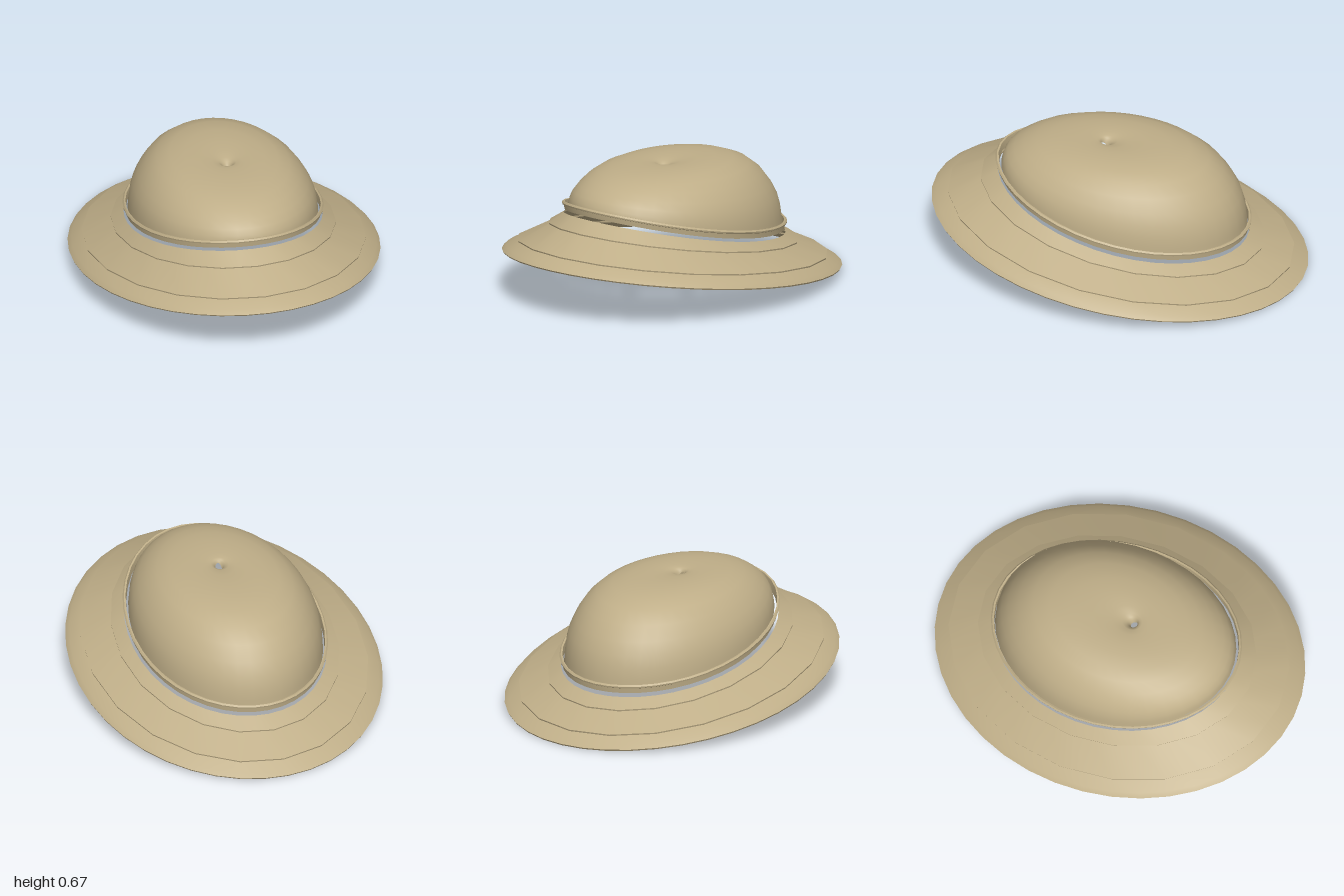
import * as THREE from 'three';
import { toCreasedNormals } from 'three/addons/utils/BufferGeometryUtils.js';

const N = 40;
const tan = new THREE.MeshStandardMaterial({ color: 0xbfae88, side: THREE.DoubleSide });
tan.name = 'tan cloth';

// One oval ring: half width a, half length b, centre z c; height follows a curve
// h = [middle, slope, bend] from back (u = -1) to front (u = 1).
function oval(a, b, c, h, faceted = false) {
  const at = (j) => {
    const t = (j / N) * Math.PI * 2, u = Math.cos(t);
    return new THREE.Vector3(a * Math.sin(t), h[0] + h[1] * u + h[2] * u * u, c + b * u);
  };
  return Array.from({ length: N }, (_, j) =>
    faceted && j % 2 ? at(j - 1).lerp(at(j + 1), 0.5) : at(j));
}

// Copy of a ring, raised by dy and widened by a factor.
const shift = (ring, dy, k = 1) => ring.map((p) => new THREE.Vector3(p.x * k, p.y + dy, p.z * k));

// Skin a list of rings; closed joins the last ring back to the first.
function loft(name, rings, closed, crease) {
  const pos = [], idx = [], R = rings.length;
  rings.forEach((r) => r.forEach((p) => pos.push(p.x, p.y, p.z)));
  for (let i = 0; i < (closed ? R : R - 1); i++) {
    const n = (i + 1) % R;
    for (let j = 0; j < N; j++) {
      const k = (j + 1) % N;
      const a = i * N + j, b = i * N + k, c = n * N + j, d = n * N + k;
      idx.push(a, b, c, b, d, c);
    }
  }
  let geo = new THREE.BufferGeometry();
  geo.setAttribute('position', new THREE.Float32BufferAttribute(pos, 3));
  geo.setIndex(idx);
  if (crease) geo = toCreasedNormals(geo, crease);
  else geo.computeVertexNormals();
  const mesh = new THREE.Mesh(geo, tan);
  mesh.name = name;
  return mesh;
}

export function createModel() {
  const hat = new THREE.Group();
  hat.name = 'sunHat';

  // Brim: three overlapping panels, each with a small step at its outer seam
  const rim = oval(0.805, 1.0, 0, [0.122, 0.138, 0.02]);
  const roll = oval(0.785, 0.972, 0, [0.145, 0.138, 0.015]);
  const lowSeam = oval(0.728, 0.918, -0.006, [0.175, 0.135, 0.015], true);
  const highSeam = oval(0.575, 0.755, -0.015, [0.255, 0.135, 0.02], true);
  const opening = oval(0.51, 0.67, -0.02, [0.3, 0.137, 0.03]);
  const under = -0.014;
  hat.add(
    loft('brimOuterPanel', [rim, roll, lowSeam, shift(lowSeam, under),
      shift(roll, under), shift(rim, -0.008, 0.995)], true, 0.7),
    loft('brimMiddlePanel', [shift(lowSeam, 0.007, 1.004), highSeam,
      shift(highSeam, under), shift(lowSeam, -0.006)], true, 0.7),
    loft('brimInnerPanel', [shift(highSeam, 0.007, 1.004), opening,
      shift(opening, -0.008), shift(highSeam, -0.006)], true, 0.7),
  );

  // Crown: rounded dome, [scale, rise], ending in a dimple with a vent hole
  const profile = [[1, 0], [0.993, 0.14], [0.98, 0.27], [0.95, 0.42], [0.895, 0.57],
    [0.81, 0.735], [0.7, 0.865], [0.57, 0.945], [0.42, 0.985], [0.27, 0.995],
    [0.16, 0.985], [0.095, 0.97], [0.065, 0.945], [0.045, 0.91], [0.035, 0.86]];
  const base = [0.315, 0.135, 0.035], top = 0.667;
  hat.add(loft('crown', profile.map(([s, rise]) => {
    const k = 1 - rise;
    const round = Math.max(0, 1 - s / 0.2);
    const length = THREE.MathUtils.lerp(0.657, 0.49, round);
    const h = [top + (base[0] - top) * k, base[1] * k, base[2] * k];
    return oval(0.487 * s, length * s, -0.025 + 0.115 * (1 - s) ** 2, h);
  })));

  // Hat band: loose strip around the crown with a rolled upper edge
  const bandRing = (a, dy) => oval(a, a + 0.168, -0.02, [base[0] + dy, base[1], base[2]]);
  hat.add(loft('hatBand', [bandRing(0.501, 0), bandRing(0.504, 0.026), bandRing(0.513, 0.03),
    bandRing(0.515, 0.038), bandRing(0.508, 0.046), bandRing(0.499, 0.044),
    bandRing(0.497, 0.026), bandRing(0.496, 0)], true, 0.7));

  return hat;
}
